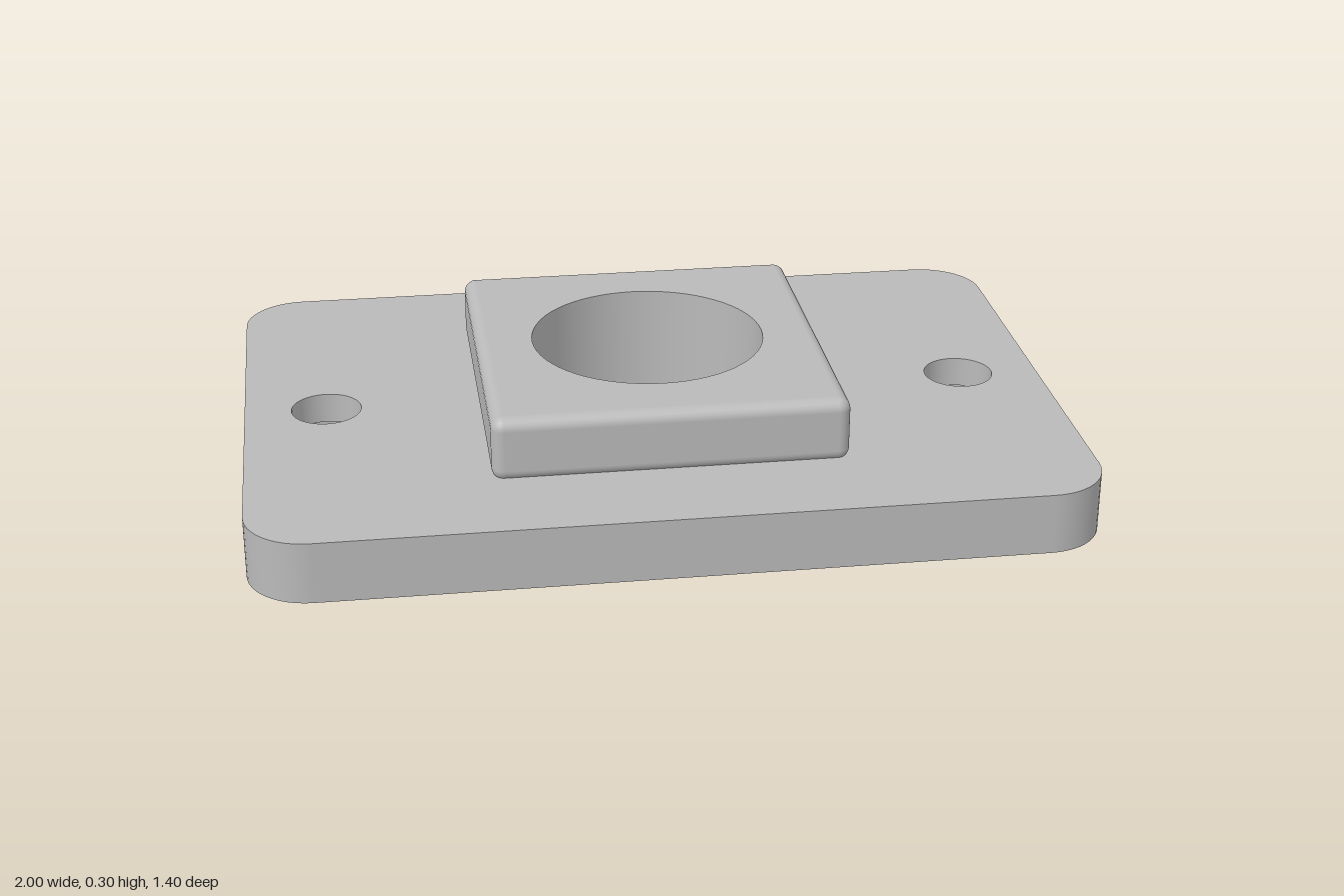
import * as THREE from 'three';

const SEG = 64;      // segments round a bore
const CORNER = 12;   // segments round a corner

// Rounded rectangle with round holes given as [x, radius]; lies flat at height y
function flatFace(hw, hd, r, holes, y, up) {
  const s = new THREE.Shape();
  const corners = [[1, 1], [-1, 1], [-1, -1], [1, -1]];
  corners.forEach(([sx, sy], k) => {
    const cx = sx * (hw - r), cy = sy * (hd - r);
    for (let i = 0; i <= (r > 0 ? CORNER : 0); i++) {
      const t = (k + i / CORNER) * Math.PI / 2;
      const px = cx + r * Math.cos(t), py = cy + r * Math.sin(t);
      if (k + i === 0) s.moveTo(px, py); else s.lineTo(px, py);
    }
  });
  for (const [x, radius] of holes) {
    s.holes.push(new THREE.Path().absarc(x, 0, radius, 0, Math.PI * 2, true));
  }
  const g = new THREE.ShapeGeometry(s, SEG / 2);
  g.rotateX(up ? -Math.PI / 2 : Math.PI / 2);
  return g.translate(0, y, 0);
}

// Wall round a rounded rectangle; profile rows are [radius, y, tilt of normal]
function roundedWall(hw, hd, r, profile) {
  const pos = [], nor = [], idx = [];
  const corners = [[1, 1], [-1, 1], [-1, -1], [1, -1]];
  const loop = 4 * (CORNER + 1);
  for (const [rad, y, tilt] of profile) {
    corners.forEach(([sx, sz], k) => {
      for (let i = 0; i <= CORNER; i++) {
        const t = (k + i / CORNER) * Math.PI / 2, c = Math.cos(t), s = Math.sin(t);
        pos.push(sx * (hw - r) + rad * c, y, sz * (hd - r) + rad * s);
        nor.push(c * Math.cos(tilt), Math.sin(tilt), s * Math.cos(tilt));
      }
    });
  }
  for (let j = 0; j < profile.length - 1; j++) {
    for (let i = 0; i < loop; i++) {
      const a = j * loop + i, b = j * loop + (i + 1) % loop;
      idx.push(a, a + loop, b, b, a + loop, b + loop);
    }
  }
  const g = new THREE.BufferGeometry();
  g.setAttribute('position', new THREE.Float32BufferAttribute(pos, 3));
  g.setAttribute('normal', new THREE.Float32BufferAttribute(nor, 3));
  g.setIndex(idx);
  return g;
}

export function createModel() {
  const metal = new THREE.MeshStandardMaterial({ color: 0xbababa });
  metal.name = 'plainGrey';

  const W = 1, D = 0.7, R = 0.15, T = 0.15;              // base plate
  const BW = 0.425, BD = 0.447, BR = 0.03, TOP = 0.3;    // raised boss
  const BORE = 0.287, SCREW = 0.086, SINK = 0.16, SHELF = 0.075, SX = 0.8;

  const model = new THREE.Group();
  model.name = 'mountingPlate';
  const add = (parent, name, geometry) => {
    const m = new THREE.Mesh(geometry, metal);
    m.name = name;
    parent.add(m);
    return m;
  };
  const group = (name) => {
    const g = new THREE.Group();
    g.name = name;
    model.add(g);
    return g;
  };
  // Inward-facing hole surface, one sharp-edged band per profile step (top to bottom)
  const hole = (name, x, profile) => {
    const g = group(name);
    for (let i = 0; i < profile.length - 1; i++) {
      const pts = [profile[i], profile[i + 1]].map(([r, y]) => new THREE.Vector2(r, y));
      add(g, name + 'Surface', new THREE.LatheGeometry(pts, SEG));
    }
    g.position.x = x;
  };

  // Base plate with rounded corners
  const plate = group('basePlate');
  add(plate, 'plateEdge', roundedWall(W, D, R, [[R, 0, 0], [R, T, 0]]));
  add(plate, 'plateTop', flatFace(W, D, R, [[0, BORE], [-SX, SCREW], [SX, SCREW]], T, true));
  add(plate, 'plateUnderside', flatFace(W, D, R, [[0, BORE], [-SX, SINK], [SX, SINK]], 0, false));

  // Boss with softened edges, sunk slightly into the plate
  const boss = group('boss');
  const profile = [];
  const steps = 6, bottom = T - 0.01;
  for (const [centreY, start] of [[bottom + BR, -Math.PI / 2], [TOP - BR, 0]]) {
    for (let i = 0; i <= steps; i++) {
      const a = start + (i / steps) * Math.PI / 2;
      profile.push([BR * Math.cos(a), centreY + BR * Math.sin(a), a]);
    }
  }
  add(boss, 'bossSides', roundedWall(BW, BD, BR, profile));
  add(boss, 'bossTop', flatFace(BW - BR, BD - BR, 0, [[0, BORE]], TOP, true));

  // Central bore and the two counterbored screw holes
  hole('centralBore', 0, [[BORE, TOP], [BORE, 0]]);
  for (const side of [-1, 1]) {
    hole(side > 0 ? 'leftScrewHole' : 'rightScrewHole', side * SX,
      [[SCREW, T], [SCREW, SHELF], [SINK, SHELF], [SINK, 0]]);
  }
  return model;
}
